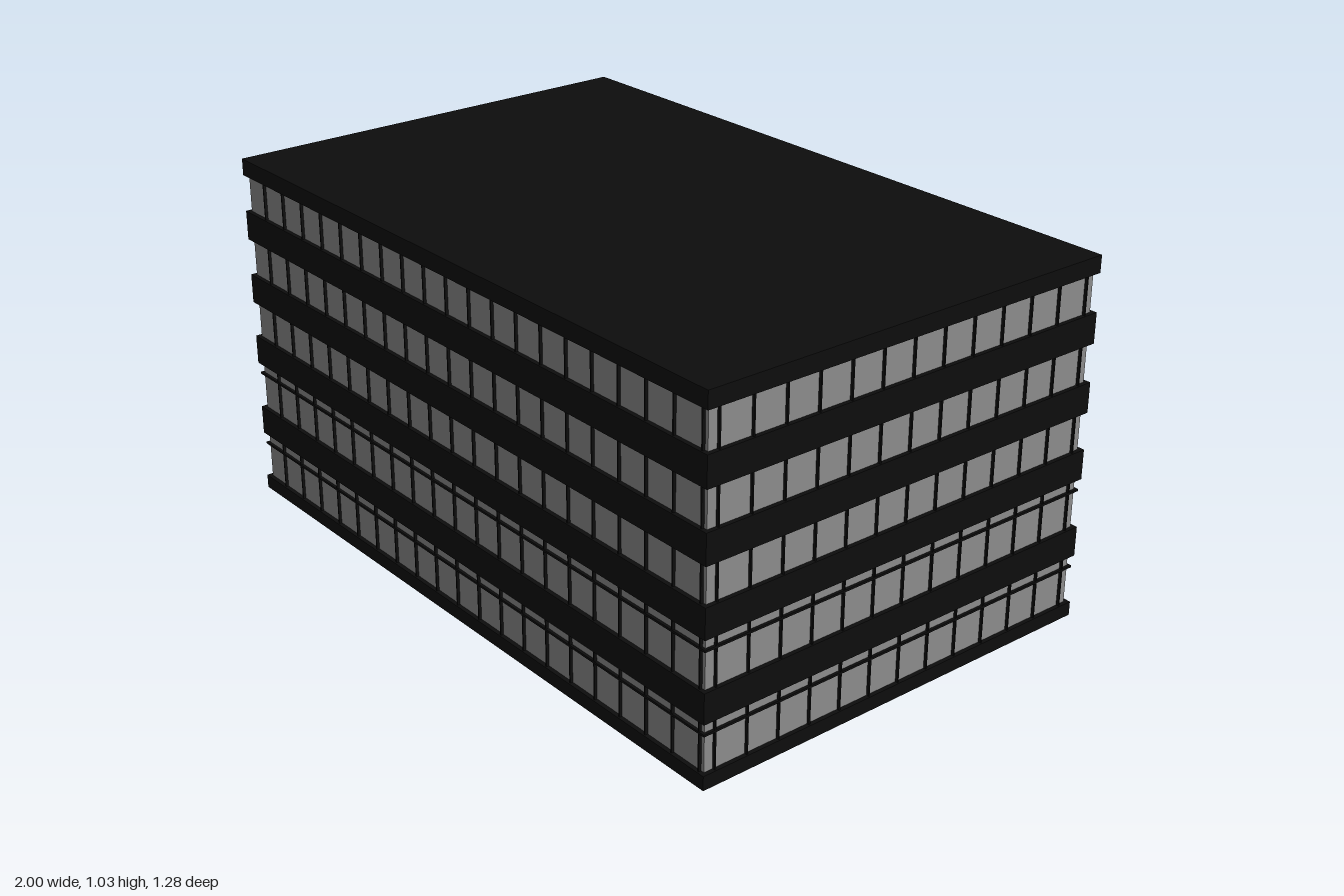
import * as THREE from 'three';

const HX = 1, HZ = 0.64;      // half width and half depth of the block
const INSET = 0.012;          // glass sits behind the spandrel faces
const RING = 0.03;            // thickness of the spandrel walls

export function createModel() {
  const building = new THREE.Group();
  building.name = 'officeBlock';
  const dark = new THREE.MeshStandardMaterial({ color: 0x0d0d0d });
  const glass = new THREE.MeshStandardMaterial({ color: 0x8c8c8c });

  // Box given by its lower and upper corners
  function box(parent, name, mat, x0, x1, y0, y1, z0, z1) {
    const mesh = new THREE.Mesh(new THREE.BoxGeometry(x1 - x0, y1 - y0, z1 - z0), mat);
    mesh.position.set((x0 + x1) / 2, (y0 + y1) / 2, (z0 + z1) / 2);
    mesh.name = name;
    parent.add(mesh);
  }

  // Four walls around the perimeter, set back by an inset
  function ring(name, mat, y0, y1, inset, thick) {
    const g = new THREE.Group();
    g.name = name;
    const x = HX - inset, z = HZ - inset;
    for (const s of [-1, 1]) {
      const zo = s * (z - thick / 2), xo = s * (x - thick / 2);
      box(g, name + 'Long', mat, -x, x, y0, y1, zo - thick / 2, zo + thick / 2);
      box(g, name + 'Short', mat, xo - thick / 2, xo + thick / 2, y0, y1, -z + thick, z - thick);
    }
    building.add(g);
  }

  // Dark spandrel bands, closed at the top by the roof
  const bands = [[0, 0.04], [0.18, 0.265], [0.405, 0.49], [0.595, 0.68], [0.787, 0.872]];
  for (const [y0, y1] of bands) ring('spandrelBand', dark, y0, y1, 0, RING);
  box(building, 'roof', dark, -HX, HX, 0.978, 1.026, -HZ, HZ);

  // Window strips with mullions between the bands
  const tops = [...bands.slice(1).map(b => b[0]), 0.978];
  const t = 0.002;
  bands.forEach(([, y0], i) => {
    const y1 = tops[i];
    ring('windowStrip', glass, y0, y1, INSET, 0.006);
    const mullions = new THREE.Group();
    mullions.name = 'mullions';
    for (const s of [-1, 1]) {
      const zc = s * (HZ - INSET), xc = s * (HX - INSET);
      for (let k = 0; k < 20; k++) {
        const x = -0.899 + k * 0.0987;
        box(mullions, 'mullion', dark, x - t, x + t, y0, y1, zc - 0.008, zc + 0.008);
      }
      for (let k = -6; k <= 6; k++) {
        const z = k * 0.1;
        box(mullions, 'mullion', dark, xc - 0.008, xc + 0.008, y0, y1, z - t, z + t);
      }
    }
    building.add(mullions);
  });

  // Transom rails on the two taller lower storeys
  for (const y of [0.147, 0.373]) ring('transomRail', dark, y - 0.003, y + 0.003, 0.004, 0.016);

  // Inner floor plate with beams hung below it at one end
  box(building, 'floorPlate', dark, -HX + RING, HX - RING, 0.61, 0.67, -HZ + RING, HZ - RING);
  for (let k = 0; k < 4; k++) {
    const z = 0.5 - k * 0.17;
    box(building, 'hangingBeam', dark, -0.95, -0.77, 0.5, 0.61, z - 0.05, z + 0.05);
  }
  return building;
}
